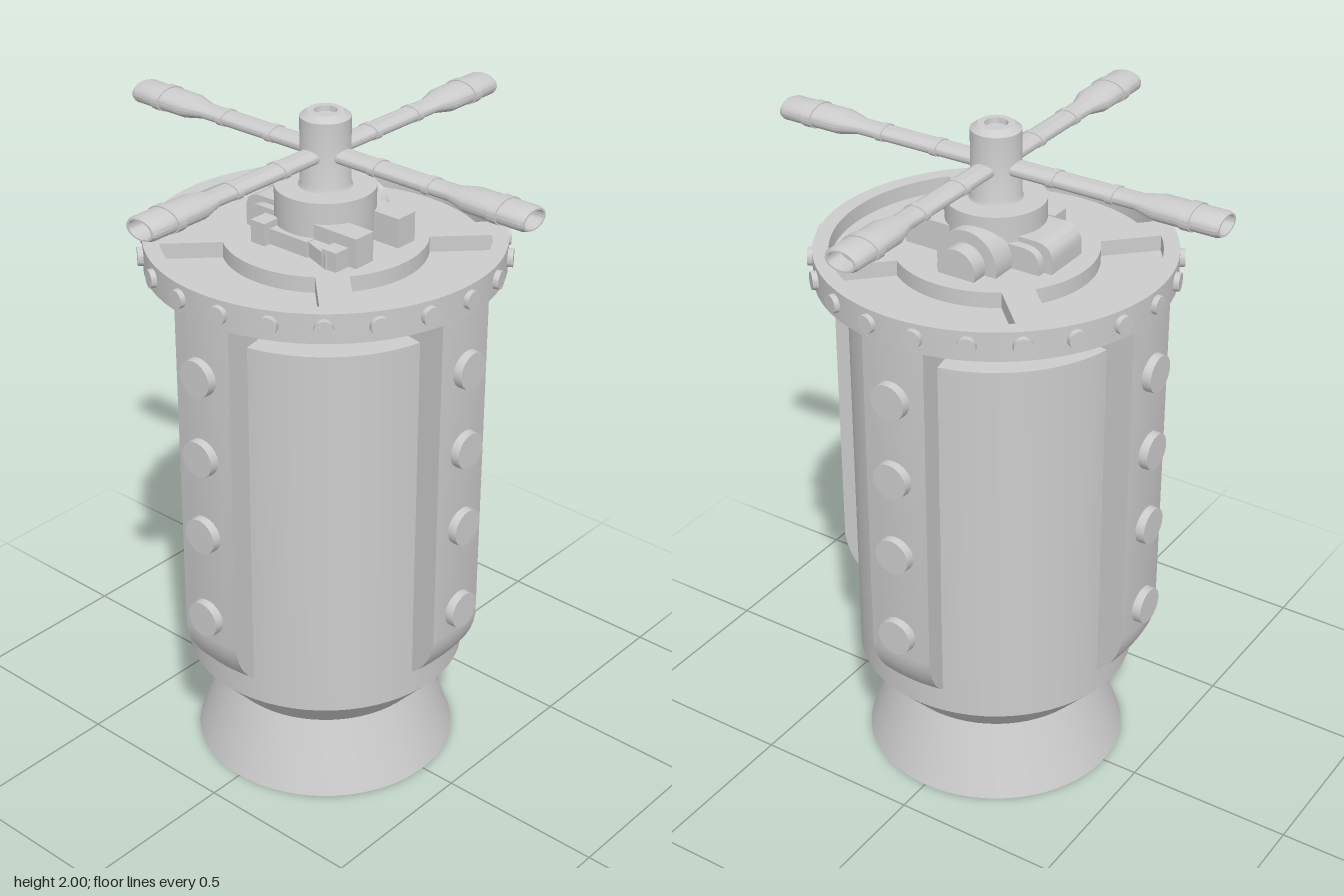
import * as THREE from 'three';
import { toCreasedNormals } from 'three/addons/utils/BufferGeometryUtils.js';

const material = new THREE.MeshStandardMaterial({ color: 0xcccccc });

function add(parent, name, geometry, x = 0, y = 0, z = 0) {
  const mesh = new THREE.Mesh(toCreasedNormals(geometry, 0.6), material);
  mesh.name = name;
  mesh.position.set(x, y, z);
  parent.add(mesh);
  return mesh;
}

const lathe = (points, segments = 64) =>
  new THREE.LatheGeometry(points.map(([r, y]) => new THREE.Vector2(r, y)), segments);

// Slightly tapered bolt head whose axis points along +x
function bolt(radius, depth) {
  return new THREE.CylinderGeometry(radius * 0.95, radius, depth, 20).rotateZ(-Math.PI / 2);
}

// Slab with four sector pockets separated by diagonal spokes of constant width
function pocketPlate(depth) {
  const plate = new THREE.Shape().absarc(0, 0, 0.5, 0, Math.PI * 2, false);
  const halfAngle = (r) => Math.PI / 4 - Math.asin(0.045 / r);
  const outer = halfAngle(0.455), inner = halfAngle(0.285);
  for (let i = 0; i < 4; i++) {
    const mid = i * Math.PI / 2;
    const hole = new THREE.Path();
    hole.absarc(0, 0, 0.455, mid - outer, mid + outer, false);
    hole.absarc(0, 0, 0.285, mid + inner, mid - inner, true);
    hole.closePath();
    plate.holes.push(hole);
  }
  return new THREE.ExtrudeGeometry(plate, { depth, bevelEnabled: false, curveSegments: 64 })
    .rotateX(-Math.PI / 2);
}

// Radial rib profile swept through a small angle about the vertical axis
function ribGeometry() {
  const shape = new THREE.Shape();
  shape.moveTo(0.34, 0.405);
  shape.lineTo(0.41, 0.405);
  shape.quadraticCurveTo(0.49, 0.47, 0.5, 0.56);
  shape.lineTo(0.5, 1.565);
  shape.lineTo(0.34, 1.565);
  shape.closePath();
  const geometry = new THREE.ExtrudeGeometry(shape, { depth: 2, steps: 6, bevelEnabled: false, curveSegments: 6 });
  const p = geometry.attributes.position;
  for (let i = 0; i < p.count; i++) {
    const r = p.getX(i), a = (p.getZ(i) - 1) * 0.195;
    p.setXYZ(i, r * Math.cos(a), p.getY(i), r * Math.sin(a));
  }
  return geometry;
}

// Flattened rod with collars and a hollow, thicker grip, pointing along +x
function armGeometry() {
  return lathe([
    [0.034, 0], [0.034, 0.175], [0.038, 0.175], [0.038, 0.195], [0.034, 0.195],
    [0.034, 0.355], [0.038, 0.355], [0.038, 0.375], [0.034, 0.375],
    [0.034, 0.44], [0.053, 0.5], [0.053, 0.582], [0.058, 0.582], [0.058, 0.61], [0.053, 0.61],
    [0.053, 0.68], [0.047, 0.692], [0.04, 0.692], [0.038, 0.64], [0, 0.64],
  ], 24).rotateZ(-Math.PI / 2).scale(1, 0.6, 1);
}

export function createModel() {
  const model = new THREE.Group();
  model.name = 'canister';

  // Flared foot and barrel
  add(model, 'body', lathe([
    [0, 0], [0.39, 0], [0.31, 0.22], [0.41, 0.33], [0.41, 1.475], [0, 1.475],
  ]));

  // Lid with tapered underside and recessed top
  add(model, 'lid', lathe([
    [0, 1.487], [0.33, 1.487], [0.41, 1.56], [0.5, 1.56], [0.5, 1.6], [0, 1.6],
  ]));
  add(model, 'lidTop', pocketPlate(0.045), 0, 1.6, 0);

  // Bolts around the rim
  for (let i = 0; i < 22; i++) {
    const a = Math.PI / 2 + i * Math.PI * 2 / 22;
    add(model, 'rimBolt', bolt(0.027, 0.03), 0.5 * Math.cos(a), 1.605, 0.5 * Math.sin(a)).rotation.y = -a;
  }

  // Four ribs with bolts, and four arms above them
  const rib = ribGeometry(), arm = armGeometry();
  for (let i = 0; i < 4; i++) {
    const side = new THREE.Group();
    side.name = 'ribAndArm';
    side.rotation.y = i * Math.PI / 2;
    add(side, 'rib', rib);
    for (const y of [0.635, 0.91, 1.155, 1.4]) add(side, 'ribBolt', bolt(0.056, 0.04), 0.503, y, 0);
    add(side, 'arm', arm, 0, 1.885, 0);
    model.add(side);
  }

  // Central hub and spindle
  add(model, 'hub', lathe([
    [0.14, 1.62], [0.14, 1.79], [0.075, 1.79], [0.07, 1.8], [0.07, 1.985],
    [0.05, 2], [0.032, 2], [0.03, 1.985], [0, 1.985],
  ], 40));

  // Two blocks at the front of the hub
  for (const x of [-0.088, 0.086]) {
    add(model, 'frontBlock', new THREE.BoxGeometry(0.07, 0.09, 0.16), x, 1.685, 0.135);
  }

  // Rounded housing at the back of the hub
  for (const [width, reach, height] of [[0.2, 0.2, 0.075], [0.15, 0.225, 0.09]]) {
    const s = new THREE.Shape();
    s.moveTo(0.05, 0);
    s.lineTo(reach, 0);
    s.lineTo(reach, height - 0.05);
    s.quadraticCurveTo(reach, height, reach - 0.055, height);
    s.lineTo(0.05, height);
    s.closePath();
    const g = new THREE.ExtrudeGeometry(s, { depth: width, bevelEnabled: false, curveSegments: 8 });
    add(model, 'backHousing', g.translate(0, 0, -width / 2).rotateY(Math.PI / 2), 0, 1.64, 0);
  }

  // Stepped drum on the left side
  for (const [radius, end] of [[0.095, 0.175], [0.06, 0.225]]) {
    const g = new THREE.CylinderGeometry(radius, radius, end - 0.05, 32).rotateZ(Math.PI / 2);
    add(model, 'sideDrum', g, (end + 0.05) / 2, 1.665, -0.02);
  }

  // Linkage on the right side
  add(model, 'linkageBlock', new THREE.BoxGeometry(0.06, 0.07, 0.05), -0.147, 1.675, -0.088);
  add(model, 'linkageBlock', new THREE.BoxGeometry(0.05, 0.06, 0.05), -0.15, 1.67, 0.165);
  add(model, 'linkageBase', new THREE.BoxGeometry(0.07, 0.05, 0.14), -0.12, 1.665, 0);
  add(model, 'linkageBar', new THREE.BoxGeometry(0.04, 0.045, 0.16), -0.133, 1.665, 0.09).rotation.y = -0.35;

  return model;
}
